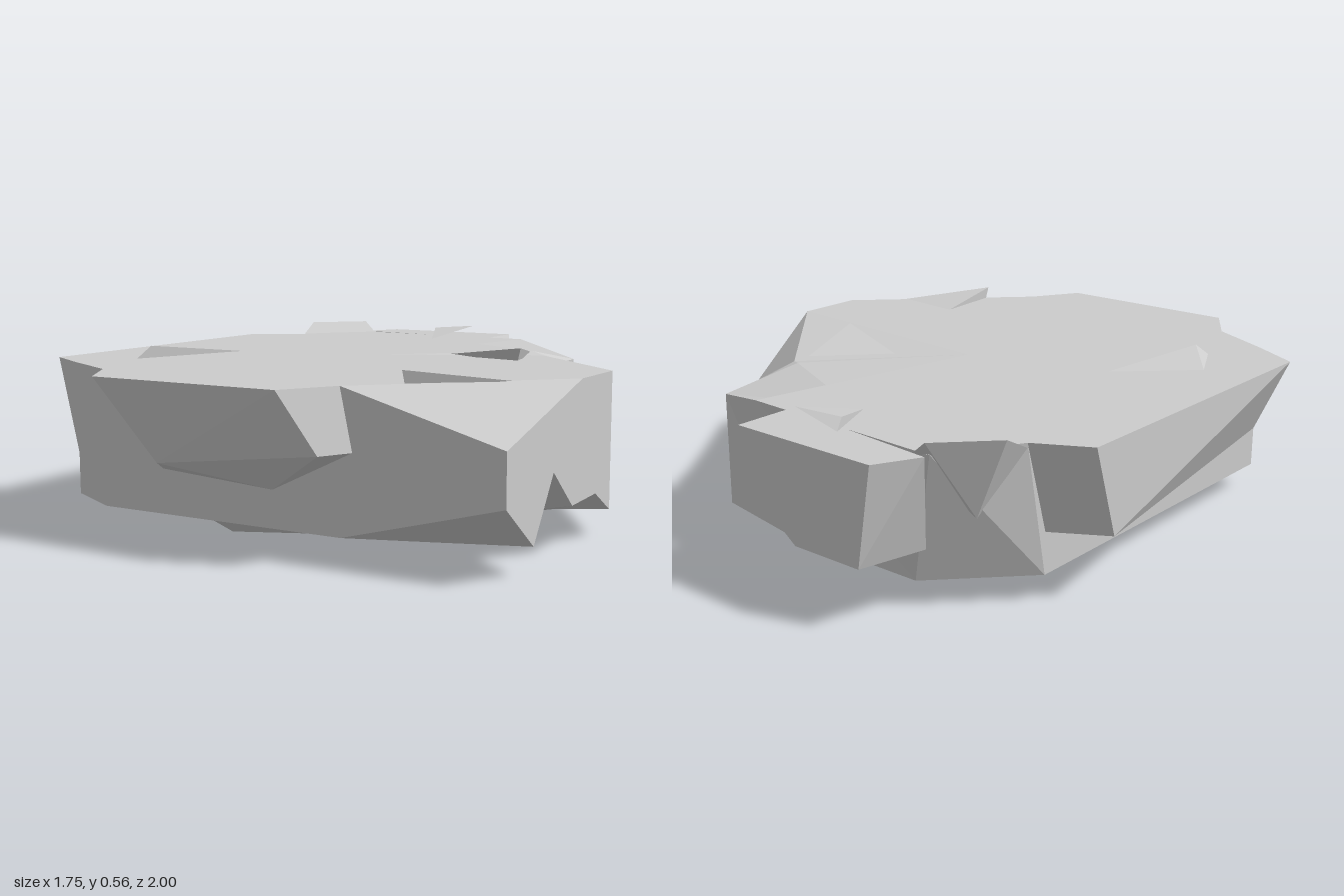
import * as THREE from 'three';
import { ConvexGeometry } from 'three/addons/geometries/ConvexGeometry.js';

const material = new THREE.MeshStandardMaterial({ color: 0xcccccc, flatShading: true });
const TOP = 0.515, LOW = 0.085;

// Replace a few points of a ring, leaving the others as they are
const vary = (ring, changes) => ring.map((p, i) => changes[i] ?? p);

// Flat-shaded loft through closed rings, listed from the top centre to the bottom centre
function loft(rings) {
  const pos = [];
  const n = rings[0].length;
  for (let r = 0; r < rings.length - 1; r++) {
    for (let i = 0; i < n; i++) {
      const j = (i + 1) % n;
      const [a, b, c, d] = [rings[r][i], rings[r + 1][i], rings[r + 1][j], rings[r][j]];
      for (const tri of [[a, b, c], [a, c, d]]) {
        const [p, q, s] = tri.map((v) => new THREE.Vector3(...v));
        const area = q.clone().sub(p).cross(s.clone().sub(p)).length();
        if (area > 1e-6) pos.push(...tri.flat());
      }
    }
  }
  const geo = new THREE.BufferGeometry();
  geo.setAttribute('position', new THREE.Float32BufferAttribute(pos, 3));
  geo.computeVertexNormals();
  return geo;
}

function createSlab() {
  // Upper rim, counter-clockwise from the front left
  const rim = [
    [-0.5, TOP, 0.83], [0.36, TOP, 0.83], [0.87, 0.375, 0.83], [0.87, 0.424, 0.65], [0.87, 0.46, 0.52],
    [0.87, TOP, 0.32], [0.87, TOP, 0.2], [0.87, TOP, 0.08], [0.72, 0.36, -0.31], [0.43, 0.46, -0.6],
    [0.42, 0.46, -0.71], [0.16, TOP, -0.81], [-0.57, TOP, -0.84], [-0.71, TOP, -0.59], [-0.71, TOP, 0.72],
  ];
  // Flat top, drawn in where the rim is bevelled
  const top = vary(rim, {
    2: [0.53, TOP, 0.66], 3: [0.65, TOP, 0.54], 4: [0.76, TOP, 0.43],
    8: [0.43, 0.5, -0.4], 9: [0.38, 0.51, -0.43], 10: [-0.1, TOP, -0.66],
  });
  // Lower edge of the side walls, with a ragged bite on the right
  const edge = [
    [-0.5, LOW, 0.83], [0.36, LOW, 0.83], [0.87, 0.22, 0.83], [0.87, LOW, 0.65], [0.87, 0.27, 0.52],
    [0.87, 0.15, 0.38], [0.87, 0.155, 0.2], [0.87, LOW, 0.08], [0.72, 0.2, -0.31], [0.43, LOW, -0.6],
    [0.42, LOW, -0.71], [0.1, LOW, -0.77], [-0.45, LOW, -0.77], [-0.71, LOW, -0.5], [-0.71, LOW, 0.72],
  ];
  const underside = vary(edge, {
    2: [0.62, LOW, 0.74], 4: [0.62, LOW, 0.5], 5: [0.6, LOW, 0.33], 6: [0.72, LOW, 0.17], 8: [0.48, LOW, -0.28],
  });
  // Shallow foot under the slab
  const foot = [
    [-0.36, 0.475], [-0.17, 0.62], [0.08, 0.51], [0.2, 0.45], [0.32, 0.38], [0.32, 0.25], [0.31, 0.1],
    [0.31, -0.08], [0.31, -0.23], [0.1, -0.32], [0, -0.37], [-0.2, -0.45], [-0.37, -0.35], [-0.54, -0.24], [-0.55, 0.33],
  ];
  const footBase = foot.map(([x, z]) => [x, 0, z]);
  const footTop = foot.map(([x, z]) => [-0.1 + (x + 0.1) * 1.25, LOW, 0.05 + (z - 0.05) * 1.25]);
  const topCentre = rim.map(() => [0, TOP, 0]);
  const footCentre = rim.map(() => [-0.1, 0, 0]);
  return loft([topCentre, top, rim, edge, underside, footTop, footBase, footCentre]);
}

// Chunks that overhang the walls, each the hull of its corners
const chunks = {
  frontLedge: [
    [-0.39, TOP, 1], [0.26, TOP, 1], [-0.5, TOP, 0.83], [0.36, TOP, 0.83], [0.4, 0.33, 0.83],
    [0.35, 0.33, 0.93], [-0.22, 0.26, 0.92], [0.13, 0.2, 0.83], [-0.27, 0.225, 0.83], [0, 0.4, 0.7],
  ],
  sideLedge: [
    [-0.88, TOP, 0.62], [-0.88, TOP, -0.5], [-0.71, TOP, 0.72], [-0.71, TOP, -0.59], [-0.5, TOP, 0.83],
    [-0.71, 0.22, 0.72], [-0.88, 0.22, -0.4], [-0.71, 0.22, -0.5],
  ],
  backLedge: [
    [-0.5, TOP, -1], [0.02, TOP, -1], [0.02, TOP, -0.8], [-0.57, TOP, -0.86], [0.02, 0.36, -1],
    [-0.45, 0.2, -1], [-0.2, 0.2, -1], [0.12, 0.35, -0.81], [0.02, 0.2, -0.78], [-0.5, 0.2, -0.78],
  ],
  backCornerShard: [
    [-0.725, 0.555, -0.7], [-0.57, 0.555, -0.86], [-0.71, 0.5, -0.59], [-0.5, 0.5, -0.84], [-0.62, 0.3, -0.7],
  ],
};

// Thin splinters lying on the top face
const splinters = [
  [[-0.6, 0.555, 0.48], [-0.71, TOP, 0.35], [-0.48, TOP, 0.13], [-0.62, TOP, 0.53]],
  [[0.49, 0.555, 0.71], [0.47, TOP, 0.45], [0.72, TOP, 0.48], [0.49, 0.5, 0.69]],
  [[0.5, 0.555, -0.06], [0.2, TOP, -0.15], [0.4, TOP, -0.36], [0.47, 0.5, -0.1]],
  [[-0.07, 0.555, -0.86], [-0.22, 0.545, -0.82], [-0.24, TOP, -0.86], [-0.15, TOP, -0.66]],
];

export function createModel() {
  const group = new THREE.Group();
  group.name = 'flatRock';
  const add = (name, geometry) => {
    const mesh = new THREE.Mesh(geometry, material);
    mesh.name = name;
    group.add(mesh);
  };
  const hull = (points) => new ConvexGeometry(points.map((p) => new THREE.Vector3(...p)));

  add('slab', createSlab());
  for (const [name, points] of Object.entries(chunks)) add(name, hull(points));
  splinters.forEach((points, i) => add(`splinter${i + 1}`, hull(points)));
  return group;
}
